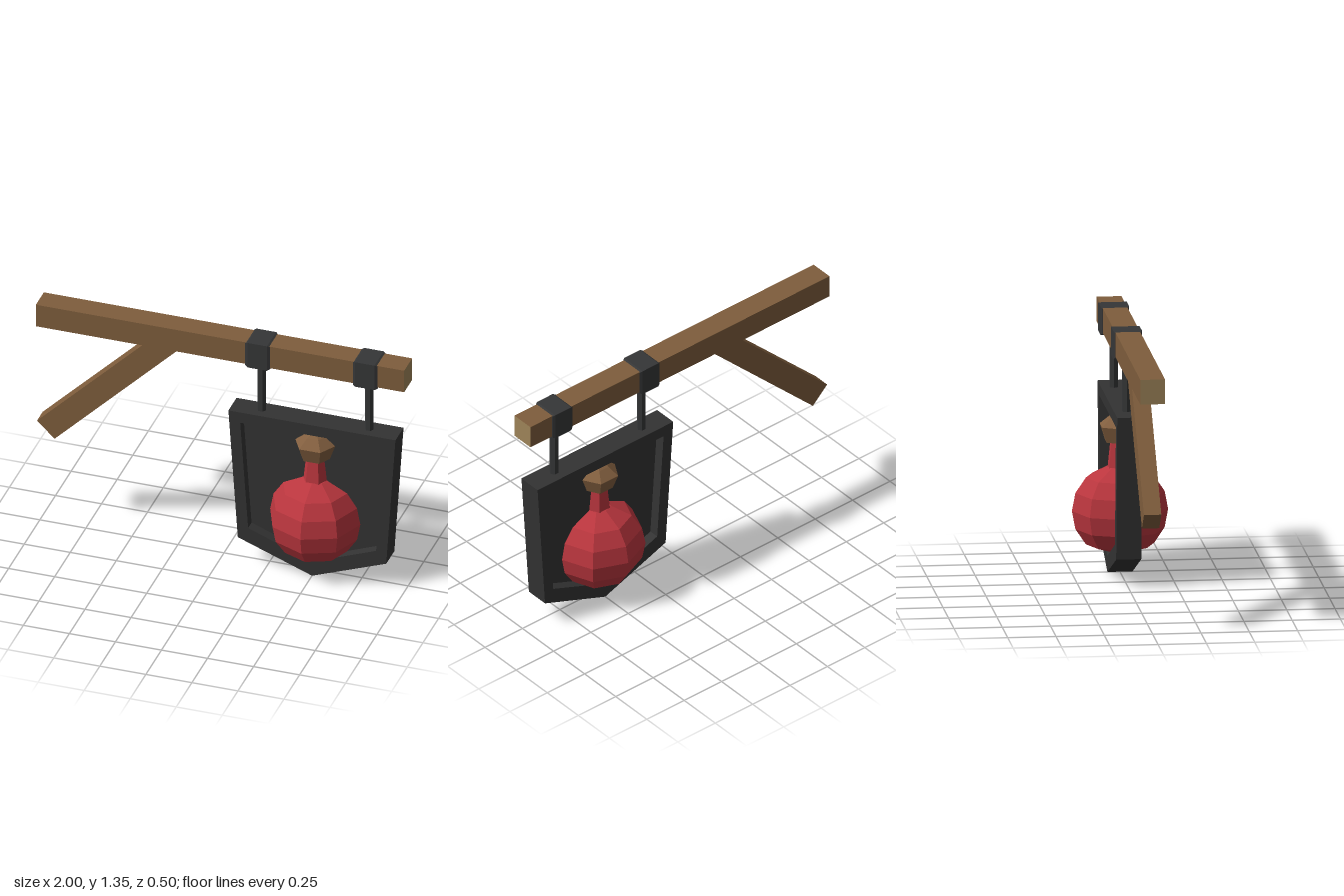
import * as THREE from 'three';

const mat = (name, color) => {
  const m = new THREE.MeshStandardMaterial({ color });
  m.name = name;
  return m;
};

// Faceted normals for low-poly parts
function flat(geometry) {
  const g = geometry.index ? geometry.toNonIndexed() : geometry;
  g.computeVertexNormals();
  return g;
}

const polygon = (pts) => pts.map(([x, y]) => new THREE.Vector2(x, y));

function extrudeCentred(shape, depth) {
  const g = new THREE.ExtrudeGeometry(shape, { depth, bevelEnabled: false });
  return g.translate(0, 0, -depth / 2);
}

export function createModel() {
  const wood = mat('wood', 0x7e5d3c);
  const endGrain = mat('end grain', 0x9d8358);
  const iron = mat('dark iron', 0x353637);
  const board = mat('sign grey', 0x333333);
  const red = mat('red glass', 0xba363e);
  const cork = mat('cork', 0x825f3f);

  const model = new THREE.Group();
  model.name = 'hangingSign';
  const add = (name, geometry, material, x = 0, y = 0) => {
    const mesh = new THREE.Mesh(geometry, material);
    mesh.name = name;
    mesh.position.set(x, y, 0);
    model.add(mesh);
  };

  // Beam with paler sawn ends
  add('beam', new THREE.BoxGeometry(2, 0.13, 0.128),
    [endGrain, endGrain, wood, wood, wood, wood], 0, 1.275);

  // Diagonal brace, its top cut flush inside the beam
  const brace = new THREE.Shape(polygon([
    [-0.905, 0.536], [-0.221, 1.22], [-0.406, 1.22], [-1, 0.628],
  ]));
  add('brace', extrudeCentred(brace, 0.09), wood);

  // Chamfered clamps and hanging rods
  for (const x of [0.205, 0.789]) {
    const clamp = new THREE.BoxGeometry(0.134, 0.148, 0.148, 3, 1, 1);
    const p = clamp.attributes.position;
    for (let i = 0; i < p.count; i++) {
      if (Math.abs(p.getX(i)) > 0.05) {
        p.setY(i, p.getY(i) * 0.9);
        p.setZ(i, p.getZ(i) * 0.9);
      } else {
        p.setX(i, Math.sign(p.getX(i)) * 0.053);
      }
    }
    add('clamp', flat(clamp), iron, x, 1.271);
    const rod = new THREE.CylinderGeometry(0.024, 0.024, 0.32, 6, 1, false, Math.PI / 2);
    add('rod', flat(rod), iron, x, 1.06);
  }

  // Shield-shaped frame around a recessed panel, outlines anticlockwise
  const inner = polygon([[0.153, 0.22], [0.5, 0.085], [0.848, 0.22], [0.888, 0.848], [0.11, 0.848]]);
  const frame = new THREE.Shape(polygon([
    [0.097, 0.153], [0.5, 0], [0.903, 0.153], [0.953, 0.91], [0.046, 0.91],
  ]));
  frame.holes.push(new THREE.Path(inner));
  add('signFrame', extrudeCentred(frame, 0.13), board);
  add('signPanel', extrudeCentred(new THREE.Shape(inner), 0.02), board);

  // Flask: eight-sided bulb, six-sided neck and stopper
  const bulb = [[0, 0.112], [0.07, 0.115], [0.177, 0.149], [0.231, 0.23], [0.249, 0.325],
    [0.231, 0.42], [0.177, 0.5], [0.068, 0.556], [0, 0.56]];
  const neck = [[0.07, 0.545], [0.053, 0.7]];
  const stopper = [[0, 0.69], [0.085, 0.69], [0.114, 0.773], [0.06, 0.817], [0, 0.848]];
  const lathe = (pts, sides, start) => flat(new THREE.LatheGeometry(polygon(pts), sides, start));
  add('flaskBulb', lathe(bulb, 8, 0), red, 0.499);
  add('flaskNeck', lathe(neck, 6, Math.PI / 2), red, 0.499);
  add('stopper', lathe(stopper, 6, Math.PI / 2), cork, 0.499);

  return model;
}
